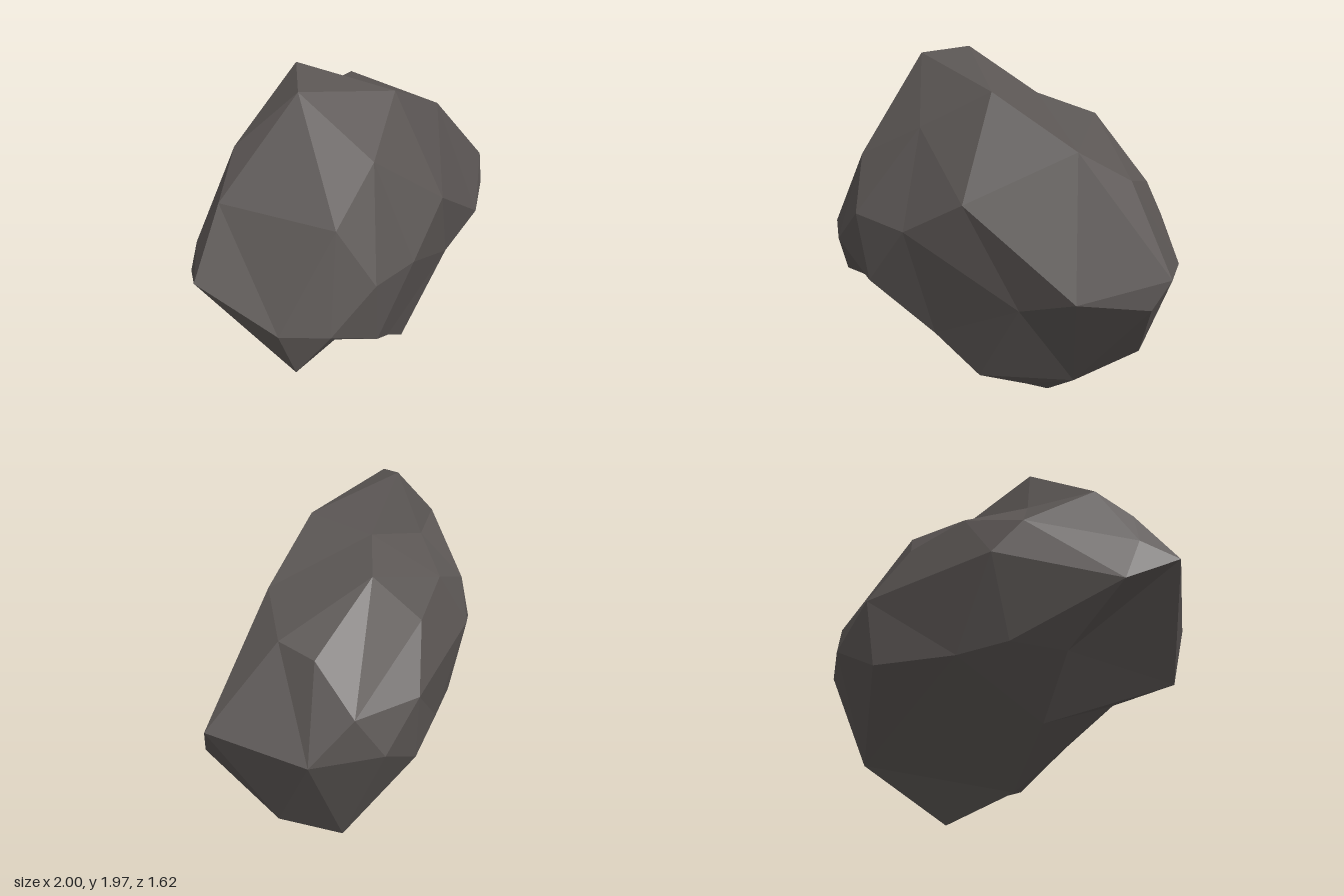
import * as THREE from 'three';
import { ConvexGeometry } from 'three/addons/geometries/ConvexGeometry.js';

// Corner points of the boulder (x, y, z)
const CORNERS = [
  // crown
  -.32, 1.97, .04, -.4, 1.94, .29, .14, 1.79, .16, .53, 1.53, -.1, .17, 1.63, -.47,
  0, 1.74, -.2, -.42, 1.65, -.05, -.69, 1.69, .21, -.1, 1.6, .45,
  // front and ends
  -.38, 1.43, .67, -.82, 1.5, .35, -1, 1.18, .47, -.93, 1.26, .27, -.96, .99, .13,
  -.7, .97, .74, -.47, .94, .81, -.23, 1.15, .78, .04, 1.1, .63, .3, 1.28, .42,
  .62, 1.37, -.37, 1, .98, -.33, .97, .83, -.24, .76, .84, .05,
  // lower front ledge and the hollow beneath it
  .48, .73, .2, -.2, .77, .74, -.62, .69, .72, 0, .46, .45, .18, .23, .27,
  -.34, .62, .52, -.05, .43, .3,
  // underside
  .28, .15, .02, .18, 0, -.19, -.14, .13, .02, -.44, .4, 0, .49, .23, -.15,
  .69, .43, -.43, .4, .31, -.57, .05, .73, -.7, -.66, .7, 0,
  // back
  .53, 1.32, -.55, .44, 1.08, -.75, .66, .87, -.7, .31, .88, -.81, .08, 1.1, -.75,
  -.05, 1.4, -.57, -.3, 1.52, -.38, -.6, 1.41, -.2, -.53, 1.21, -.35,
  -.3, .72, -.41, -.52, .75, -.24,
];

// Joins the corners by wrapping their directions on a sphere, so hollows survive
function wrapCorners(numbers, centre, thinAxis, stretch) {
  const corners = [];
  for (let i = 0; i < numbers.length; i += 3) corners.push(new THREE.Vector3().fromArray(numbers, i));
  const directions = corners.map((c) => {
    const d = c.clone().sub(centre);
    return d.addScaledVector(thinAxis, d.dot(thinAxis) * stretch).normalize();
  });
  const geometry = new ConvexGeometry(directions);
  const position = geometry.attributes.position;
  const v = new THREE.Vector3();
  for (let i = 0; i < position.count; i++) {
    v.fromBufferAttribute(position, i);
    let best = 0;
    directions.forEach((d, k) => {
      if (d.distanceToSquared(v) < directions[best].distanceToSquared(v)) best = k;
    });
    position.setXYZ(i, ...corners[best].toArray());
  }
  geometry.computeVertexNormals();
  return geometry;
}

export function createModel() {
  const group = new THREE.Group();
  group.name = 'rock';
  const stone = new THREE.MeshStandardMaterial({ color: 0x5a5553, flatShading: true });
  stone.name = 'dark stone';
  const thinAxis = new THREE.Vector3(1, 0, 1).normalize();
  const boulder = new THREE.Mesh(wrapCorners(CORNERS, new THREE.Vector3(0, 0.95, 0), thinAxis, 0.6), stone);
  boulder.name = 'boulder';
  group.add(boulder);
  return group;
}
